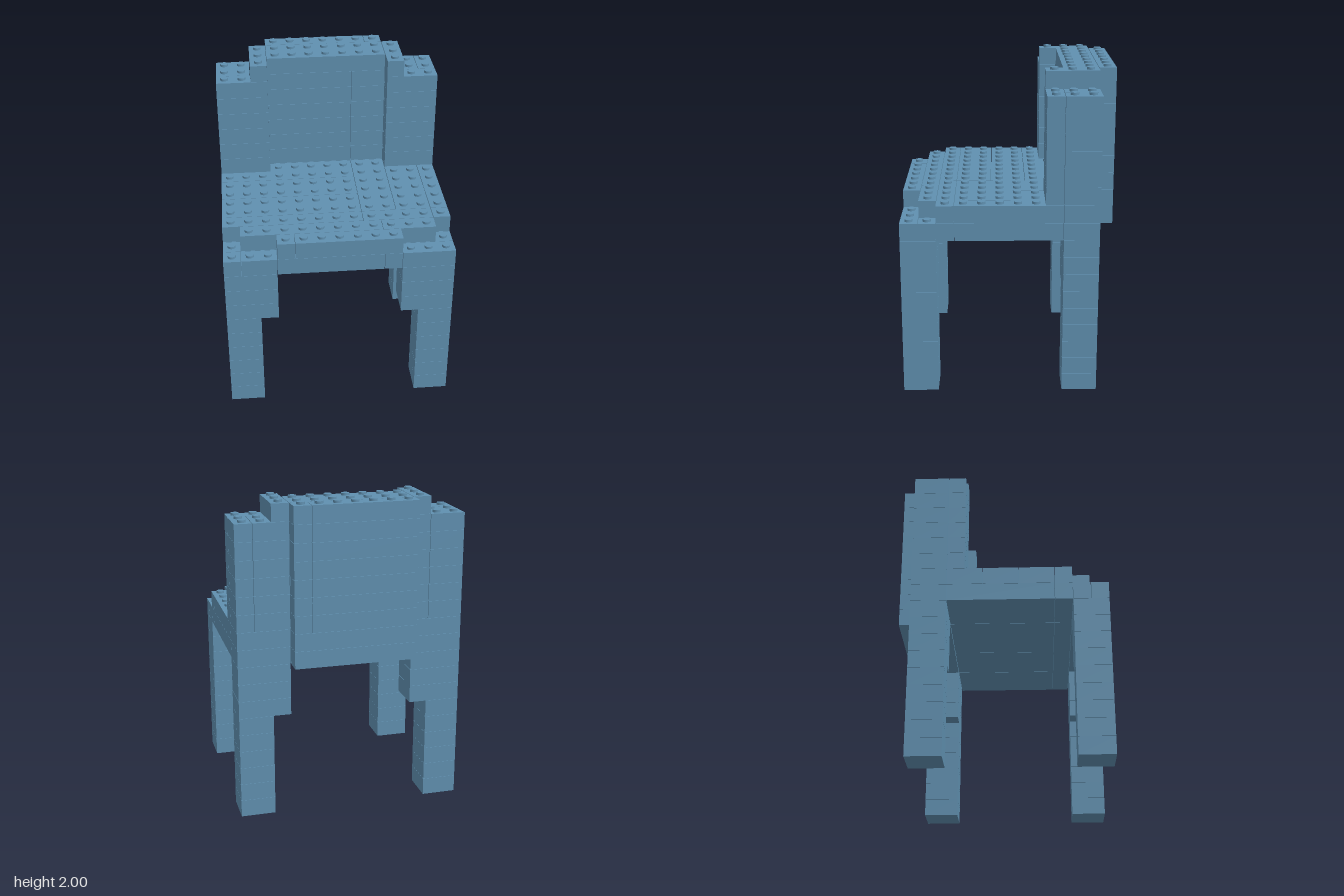
import * as THREE from 'three';
import { mergeGeometries } from 'three/addons/utils/BufferGeometryUtils.js';

// Stud grid: 13 cells in x, 12 in z, 18 layers in y
const P = 0.11, H = 1.985 / 18, X0 = -0.715, Z0 = -0.66;
const GAP = 0.003, STUD_R = 0.025, STUD_H = 0.015;

export function createModel() {
  const model = new THREE.Group();
  model.name = 'brickChair';
  const blue = new THREE.MeshStandardMaterial({ color: 0x6090b0 });
  blue.name = 'dusty blue';

  const parts = {};      // part name -> brick geometries
  const filled = new Map(); // occupied cell -> part name
  const key = (x, l, z) => `${x},${l},${z}`;

  // One brick: list entry is [x cell, z cell, width, depth]
  function lay(part, layer, bricks) {
    for (const [x, z, w, d] of bricks) {
      const g = new THREE.BoxGeometry(w * P - GAP, H - GAP / 2, d * P - GAP);
      g.translate(X0 + (x + w / 2) * P, (layer + 0.5) * H, Z0 + (z + d / 2) * P);
      (parts[part] ??= []).push(g);
      for (let i = x; i < x + w; i++)
        for (let k = z; k < z + d; k++) filled.set(key(i, layer, k), [i, layer, k]);
    }
  }

  // Legs: narrow 2x2 columns that widen inward under the seat
  const legs = [['backRightLeg', 0, 1], ['backLeftLeg', 1, 1], ['frontRightLeg', 0, 10], ['frontLeftLeg', 1, 10]];
  for (const [name, left, z] of legs) {
    for (let l = 0; l < 9; l++) {
      const w = l < 6 ? 2 : 3;
      lay(name, l, [[left ? 13 - w : 0, z, w, 2]]);
    }
  }

  // Lower seat layer
  lay('seatBase', 9, [
    [3, 0, 7, 1], [0, 1, 3, 2], [3, 1, 7, 2], [10, 1, 3, 2],
    [0, 3, 3, 6], [3, 3, 4, 6], [7, 3, 3, 6], [10, 3, 3, 6],
    [0, 9, 3, 1], [3, 9, 7, 1], [10, 9, 3, 1],
    [0, 10, 1, 1], [1, 10, 8, 1], [9, 10, 4, 1],
    [0, 11, 1, 1], [1, 11, 2, 1], [3, 11, 6, 1], [9, 11, 1, 1], [10, 11, 3, 1],
  ]);

  // Upper seat layer with stepped front corners
  lay('seatTop', 10, [
    [3, 0, 7, 1], [0, 1, 3, 2], [3, 1, 7, 2], [10, 1, 3, 2],
    [0, 3, 8, 2], [0, 5, 8, 2], [0, 7, 8, 2],
    [8, 3, 2, 6], [10, 3, 2, 6], [12, 3, 1, 6],
    [0, 9, 8, 1], [8, 9, 4, 1], [12, 9, 1, 1],
    [1, 10, 8, 1], [9, 10, 3, 1],
    [3, 11, 1, 1], [4, 11, 6, 1],
  ]);

  // Backrest: recessed middle panel between two forward side posts
  for (let l = 11; l < 17; l++) {
    lay('backPanel', l, [[3, 0, 6, 1], [9, 0, 1, 1], [3, 1, 5, 2], [8, 1, 2, 2]]);
    lay('rightPost', l, [[0, 1, 2, 2], [2, 1, 1, 2], [0, 3, 3, 1]]);
    lay('leftPost', l, [[10, 1, 2, 2], [12, 1, 1, 2], [10, 3, 3, 1]]);
  }
  lay('backrestCap', 17, [[3, 0, 6, 1], [9, 0, 1, 1], [3, 1, 7, 2], [2, 1, 1, 3], [10, 1, 1, 3]]);

  // Studs on every cell with nothing above it
  for (const [x, l, z] of filled.values()) {
    if (filled.has(key(x, l + 1, z))) continue;
    const s = new THREE.CylinderGeometry(STUD_R, STUD_R, STUD_H, 20);
    s.translate(X0 + (x + 0.5) * P, (l + 1) * H + STUD_H / 2 - 0.0005, Z0 + (z + 0.5) * P);
    (parts.studs ??= []).push(s);
  }

  for (const [name, geos] of Object.entries(parts)) {
    const mesh = new THREE.Mesh(mergeGeometries(geos), blue);
    mesh.name = name;
    model.add(mesh);
  }
  return model;
}
